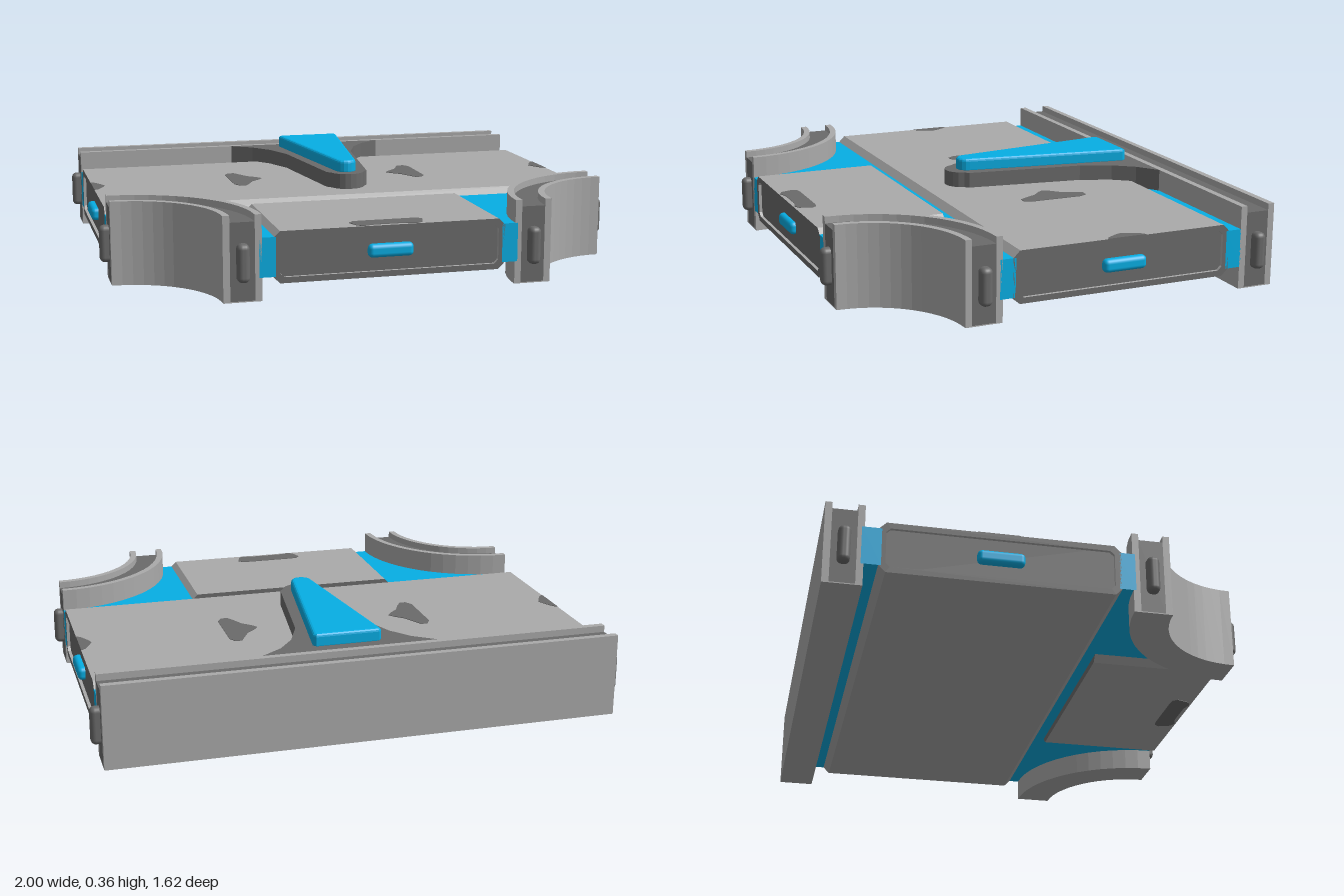
import * as THREE from 'three';
import { RoundedBoxGeometry } from 'three/addons/geometries/RoundedBoxGeometry.js';

const material = (name, color) => {
  const m = new THREE.MeshStandardMaterial({ color });
  m.name = name;
  return m;
};

export function createModel() {
  const light = material('light grey', 0xaaaaaa);
  const dark = material('dark grey', 0x6b6b6b);
  const blue = material('blue', 0x06aee4);
  const model = new THREE.Group();
  model.name = 'trackJunctionTile';

  const add = (name, geometry, mat, parent = model) => {
    const mesh = new THREE.Mesh(geometry, mat);
    mesh.name = name;
    parent.add(mesh);
    return mesh;
  };
  const box = (name, mat, x0, x1, y0, y1, z0, z1) => {
    const g = new THREE.BoxGeometry(x1 - x0, y1 - y0, z1 - z0);
    g.translate((x0 + x1) / 2, (y0 + y1) / 2, (z0 + z1) / 2);
    return add(name, g, mat);
  };
  const pill = (name, mat, w, h, d, x, y, z) => {
    const g = new RoundedBoxGeometry(w, h, d, 3, Math.min(w, h, d) * 0.42);
    g.translate(x, y, z);
    return add(name, g, mat);
  };
  // Plan outline of [x, z] points raised from y0 to y1
  const slab = (name, mat, points, y0, y1, bevel = 0) => {
    const shape = new THREE.Shape(points.map(([x, z]) => new THREE.Vector2(x, -z)));
    const g = new THREE.ExtrudeGeometry(shape, {
      depth: y1 - y0 - 2 * bevel, bevelEnabled: bevel > 0, bevelSize: bevel,
      bevelOffset: -bevel, bevelThickness: bevel, bevelSegments: 3,
    });
    g.rotateX(-Math.PI / 2).translate(0, y0 + bevel, 0);
    return add(name, g, mat);
  };
  const arc = (cx, cz, r, a0, a1, n = 14) => Array.from({ length: n + 1 }, (_, i) => {
    const a = a0 + (a1 - a0) * i / n;
    return [cx + r * Math.cos(a), cz + r * Math.sin(a)];
  });

  const X = 0.965, F = 0.775, TOP = 0.315, Q = Math.PI / 2;

  // Blue core plate: curved front corners, set back behind the recessed end panels
  const half = [
    [X, -0.68], [X, -0.61], [0.94, -0.61], [0.94, 0.235], [X, 0.235],
    ...arc(X, F, 0.48, -Q, -2 * Q), [0.425, F], [0.425, 0.74],
  ];
  slab('corePlate', blue, [...half, ...half.map(([x, z]) => [-x, z]).reverse()], 0.085, 0.23);

  // Straight back wall: two light plates around a lower dark core
  box('backWallOuter', light, -X, X, 0.004, TOP, -0.81, -0.785);
  box('backWallInner', light, -X, X, 0.004, TOP, -0.695, -0.67);
  box('backWallCore', dark, -X, X, 0.004, 0.29, -0.785, -0.695);
  box('backWallBase', light, -X, X, 0, 0.004, -0.81, -0.67);

  // Curved corner walls with the same channel
  for (const s of [-1, 1]) {
    const ring = (name, mat, r0, r1, y0, y1) => {
      const a0 = -Q, a1 = s > 0 ? -2 * Q : 0;
      slab(name, mat, [...arc(s * X, F, r1, a0, a1), ...arc(s * X, F, r0, a1, a0)], y0, y1);
    };
    ring('cornerWallOuter', light, 0.35, 0.375, 0.004, TOP);
    ring('cornerWallCore', dark, 0.375, 0.465, 0.004, 0.29);
    ring('cornerWallInner', light, 0.465, 0.49, 0.004, TOP);
    ring('cornerWallBase', light, 0.35, 0.49, 0, 0.004);

    // Connector pegs
    pill('sidePegBack', dark, 0.07, 0.14, 0.045, s * X, 0.145, -0.74);
    pill('sidePegFront', dark, 0.07, 0.14, 0.045, s * X, 0.145, 0.355);
    pill('frontPeg', dark, 0.045, 0.14, 0.07, s * 0.545, 0.145, F);
  }

  // Chamfered section, centred on u = 0
  const octagon = (w, y0, y1, c) => [
    [-w, y0 + c], [-w + c, y0], [w - c, y0], [w, y0 + c],
    [w, y1 - c], [w - c, y1], [-w + c, y1], [-w, y1 - c],
  ].map(([x, y]) => new THREE.Vector2(x, y));
  // Prism along z with light sides and dark ends; a frame leaves its middle open
  const prism = (w, y0, y1, z0, z1, framed) => {
    const shape = new THREE.Shape(octagon(w, y0, y1, 0.025));
    if (framed) shape.holes.push(new THREE.Path(octagon(w - 0.025, y0 + 0.022, y1 - 0.022, 0.015)));
    return new THREE.ExtrudeGeometry(shape, { depth: z1 - z0, bevelEnabled: false })
      .translate(0, 0, z0);
  };

  // Wide deck block running across the tile
  const deck = new THREE.Group();
  deck.name = 'deck';
  deck.rotation.y = Q;
  deck.position.z = -0.1875;
  model.add(deck);
  add('deckBody', prism(0.4325, 0.06, 0.255, -0.953, 0.953), [dark, light], deck);
  add('deckEndFrame', prism(0.4325, 0.06, 0.255, 0.953, X, true), [dark, light], deck);
  add('deckEndFrame', prism(0.4325, 0.06, 0.255, -X, -0.953, true), [dark, light], deck);

  // Front block
  add('frontBlock', prism(0.435, 0.06, 0.25, 0.285, 0.763), [dark, light]);
  add('frontBlockFrame', prism(0.435, 0.06, 0.25, 0.763, F, true), [dark, light]);

  // Blue slots on the ends
  pill('frontSlot', blue, 0.17, 0.05, 0.04, 0, 0.157, 0.766);
  for (const s of [-1, 1]) pill('sideSlot', blue, 0.04, 0.05, 0.17, s * 0.961, 0.157, -0.19);

  // Lever mount flaring into the back wall, with the tapered blue lever on it
  const C = 0.03;
  const flare = [[0.333, -0.67], [0.25, -0.61], [0.19, -0.53], [0.143, -0.41], [0.083, 0.05]];
  const mirrored = flare.map(([x, z]) => [C - x, z]);
  slab('leverMount', dark, [
    ...flare.map(([x, z]) => [C + x, z]),
    ...arc(C, 0.05, 0.07, 0.25, Math.PI - 0.25, 8),
    ...mirrored.reverse(),
  ], 0.23, TOP);
  slab('lever', blue, [
    [C - 0.12, -0.627], [C + 0.12, -0.627], [C + 0.131, -0.612],
    ...arc(C, 0.03, 0.042, 0.05, Math.PI - 0.05, 8), [C - 0.131, -0.612],
  ], 0.305, 0.362, 0.012);

  // Dark worn patches on the top faces and under the front block
  const worn = [[0.403, -0.3], [0.388, -0.328], [0.36, -0.33], [0.343, -0.295], [0.32, -0.25],
    [0.285, -0.217], [0.27, -0.195], [0.285, -0.172], [0.32, -0.138], [0.34, -0.095],
    [0.36, -0.062], [0.385, -0.06], [0.403, -0.09]];
  const edge = [[X, -0.275], [0.948, -0.262], [0.928, -0.225], [0.916, -0.197],
    [0.928, -0.168], [0.948, -0.132], [X, -0.12]];
  const front = [[-0.14, 0.71], [-0.125, 0.692], [-0.1, 0.688], [0.1, 0.688], [0.125, 0.692],
    [0.138, 0.71], [0.122, 0.758], [0.1, 0.77], [0.06, 0.758], [-0.06, 0.758],
    [-0.1, 0.77], [-0.124, 0.758]];
  for (const s of [-1, 1]) {
    slab('deckPatch', dark, worn.map(([x, z]) => [s * x, z]), 0.253, 0.257);
    slab('edgePatch', dark, edge.map(([x, z]) => [s * x, z]), 0.253, 0.257);
  }
  slab('frontPatch', dark, front, 0.248, 0.252);
  slab('frontPatchUnder', dark, front, 0.058, 0.062);

  return model;
}
